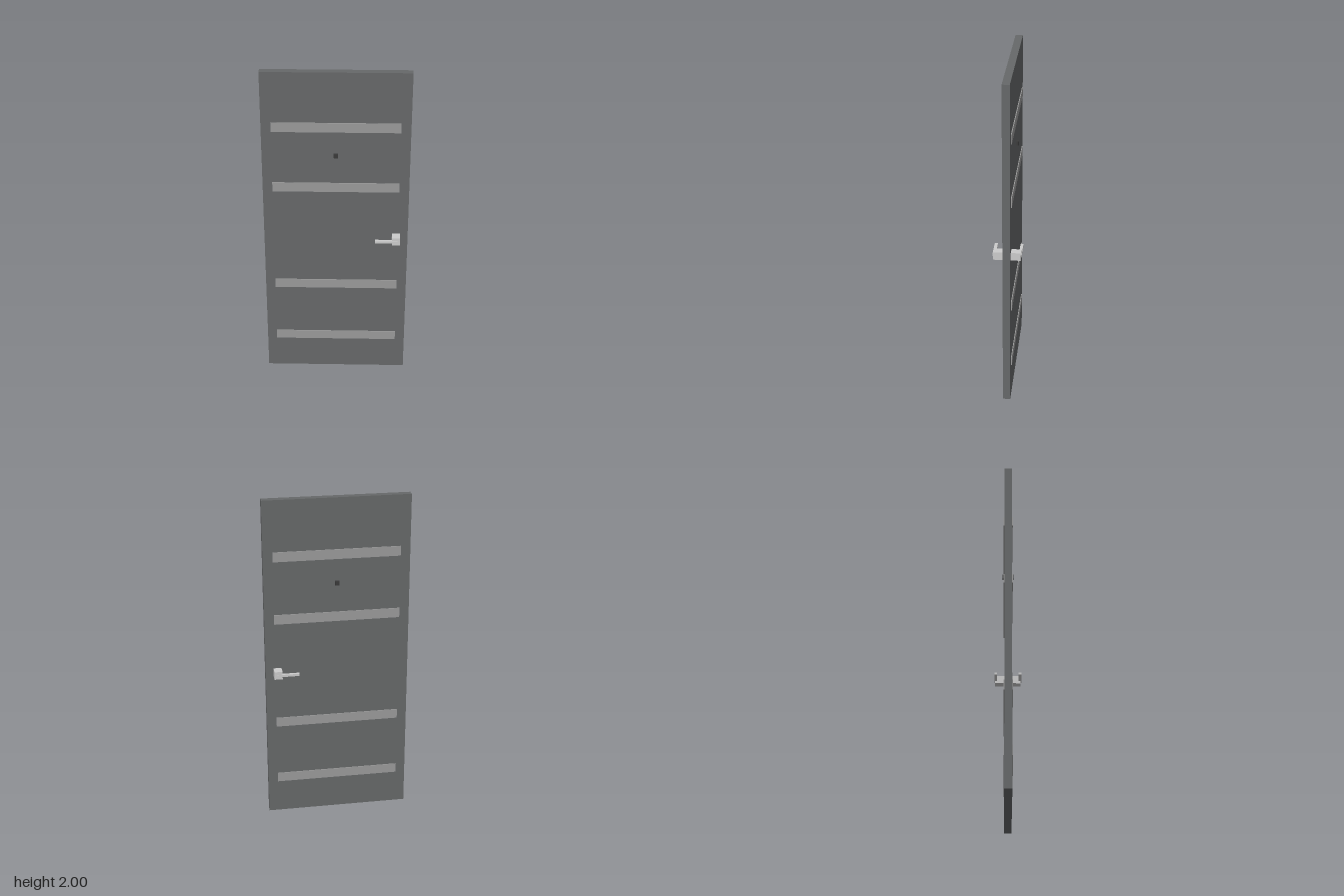
import * as THREE from 'three';

const material = (color) => new THREE.MeshStandardMaterial({ color });

export function createModel() {
  const door = new THREE.Group();
  door.name = 'door';

  const leafColor = material(0x666869);
  const trimColor = material(0x9a9a9a);
  const darkColor = material(0x3a3a3a);
  const metal = material(0xcccccc);

  // Box given by its lower and upper limits on each axis
  function box(name, mat, [x0, x1], [y0, y1], [z0, z1], parent = door) {
    const mesh = new THREE.Mesh(new THREE.BoxGeometry(x1 - x0, y1 - y0, z1 - z0), mat);
    mesh.position.set((x0 + x1) / 2, (y0 + y1) / 2, (z0 + z1) / 2);
    mesh.name = name;
    parent.add(mesh);
    return mesh;
  }

  // Door leaf
  box('doorLeaf', leafColor, [-0.427, 0.427], [0, 2], [-0.023, 0.0205]);

  // Horizontal strips, raised slightly on both faces
  [0.236, 0.618, 1.285, 1.667].forEach((y, i) => {
    box(`trimStrip${i + 1}`, trimColor, [-0.37, 0.37], [y - 0.029, y + 0.029], [-0.028, 0.0255]);
  });

  // Square peephole passing through the leaf
  box('peephole', darkColor, [-0.0126, 0.0126], [1.48, 1.505], [-0.036, 0.0335]);

  // Handle: a block through the leaf with a lever on each face
  const handle = new THREE.Group();
  handle.name = 'handle';
  door.add(handle);
  box('handleBlock', metal, [0.333, 0.381], [0.928, 0.976], [-0.08, 0.0775], handle);
  box('frontLever', metal, [0.233, 0.365], [0.944, 0.958], [0.064, 0.083], handle);
  box('backLever', metal, [0.233, 0.365], [0.944, 0.958], [-0.084, -0.067], handle);

  return door;
}
